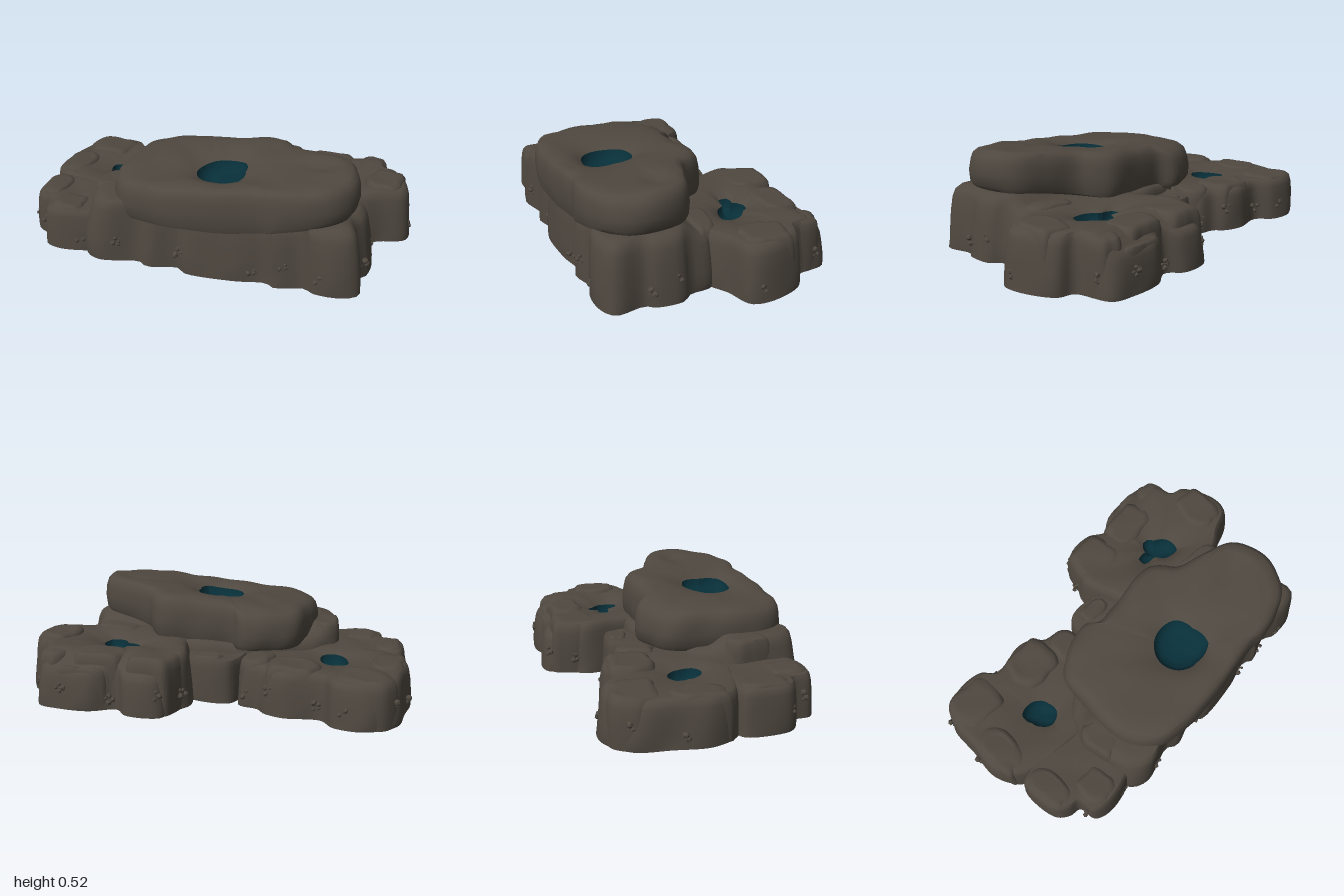
import * as THREE from 'three';
import { toCreasedNormals } from 'three/addons/utils/BufferGeometryUtils.js';

const stone = new THREE.MeshStandardMaterial({ color: 0x4f4840 });
stone.name = 'stone';
const water = new THREE.MeshStandardMaterial({ color: 0x082f39 });
water.name = 'poolTeal';

const SEG = 112;
const smoothstep = THREE.MathUtils.smoothstep;
// Gentle undulation of the weathered surface
const ripple = (x, y, z) =>
  0.45 * Math.sin(13 * x + 5 * z) * Math.sin(11 * z - 4 * x + 9 * y) + 0.3 * Math.sin(27 * x - 19 * z + 14 * y);

// Joins closed rings of points, bottom to top, with optional caps
function loft(rings, capBottom, capTop) {
  const pos = rings.flat(2), index = [];
  for (let j = 0; j < rings.length - 1; j++) {
    for (let i = 0; i < SEG; i++) {
      const k = (i + 1) % SEG, a = j * SEG + i, b = j * SEG + k;
      index.push(a, a + SEG, b, b, a + SEG, b + SEG);
    }
  }
  const cap = (p, start, up) => {
    const c = pos.length / 3;
    pos.push(...p);
    for (let i = 0; i < SEG; i++) {
      const a = start + i, b = start + (i + 1) % SEG;
      index.push(c, up ? b : a, up ? a : b);
    }
  };
  if (capBottom) cap(capBottom, 0, false);
  if (capTop) cap(capTop, (rings.length - 1) * SEG, true);
  const g = new THREE.BufferGeometry();
  g.setAttribute('position', new THREE.Float32BufferAttribute(pos, 3));
  g.setIndex(index);
  return toCreasedNormals(g, 0.75);
}

// Side profiles as [outline scale, height fraction]
const CLIFF = [[1, 0], [0.998, 0.12], [0.988, 0.35], [0.972, 0.6], [0.952, 0.82], [0.93, 0.93], [0.89, 0.99], [0.82, 1]];
const SLAB = [[0.9, 0], [0.965, 0.04], [0.99, 0.16], [1, 0.42], [0.99, 0.68], [0.97, 0.86], [0.93, 0.96], [0.86, 1]];
const DOME = [[1, 0], [0.995, 0.25], [0.98, 0.55], [0.94, 0.78], [0.88, 0.92], [0.76, 0.985], [0.62, 1.0]];

// A rock from an (x, z) outline, narrowing towards c; pool lists rim radii at equal angles around c
function rock(group, name, outline, c, top, { bottom = () => 0, profile = CLIFF, pool = null, depth = 0.06, dip = 0.025 } = {}) {
  const curve = new THREE.CatmullRomCurve3(outline.map(([x, z]) => new THREE.Vector3(x, 0, z)), true);
  const edge = curve.getSpacedPoints(SEG).slice(0, SEG).map(p => new THREE.Vector2(p.x, p.z));
  if (THREE.ShapeUtils.area(edge) < 0) edge.reverse();
  const rings = profile.map(([s, h]) => edge.map(p => {
    const x0 = c[0] + (p.x - c[0]) * s, z0 = c[1] + (p.y - c[1]) * s;
    const lo = bottom(x0, z0);
    const y = lo + (top(x0, z0) - lo) * h;
    const w = 1 + (h > 0 ? 0.018 * ripple(x0, y, z0) : 0);
    return [c[0] + (x0 - c[0]) * w, y + (h > 0.9 ? 0.008 * ripple(x0, y, z0) : 0), c[1] + (z0 - c[1]) * w];
  }));
  const rim = edge.map(p => {
    const a = Math.atan2(p.y - c[1], p.x - c[0]);
    const radii = pool || [0.03];
    const u = (a / (2 * Math.PI) + 1) % 1 * radii.length, i = Math.floor(u);
    const r = THREE.MathUtils.lerp(radii[i % radii.length], radii[(i + 1) % radii.length], u - i);
    return [c[0] + r * Math.cos(a), c[1] + r * Math.sin(a)];
  });
  // Top surface sinking in to the rim
  const s0 = profile[profile.length - 1][0];
  for (const t of [0.2, 0.4, 0.6, 0.8, 0.92, 1]) {
    rings.push(edge.map((p, i) => {
      const ox = c[0] + (p.x - c[0]) * s0, oz = c[1] + (p.y - c[1]) * s0;
      const x = ox + (rim[i][0] - ox) * t, z = oz + (rim[i][1] - oz) * t;
      return [x, top(x, z) + 0.008 * ripple(x, 0.3, z) - (pool ? dip * t * t * t : 0), z];
    }));
  }
  const yc = top(...c);
  const mesh = new THREE.Mesh(loft(rings, [c[0], bottom(...c), c[1]], pool ? null : [c[0], yc, c[1]]), stone);
  mesh.name = name;
  group.add(mesh);
  if (!pool) return;
  // Bowl of the pool
  const last = rings[rings.length - 1];
  const bowl = [[1, 0], [0.93, 0.45], [0.75, 0.8], [0.45, 0.96]].map(([s, d]) =>
    last.map(([x, y, z]) => [c[0] + (x - c[0]) * s, y - depth * d, c[1] + (z - c[1]) * s]));
  const basin = new THREE.Mesh(loft(bowl, null, [c[0], yc - dip - depth, c[1]]), water);
  basin.name = name + 'Pool';
  group.add(basin);
}

// A rounded lump with a squarish plan
function boulder(group, name, x, z, rx, rz, h, turn = 0) {
  const pts = [];
  for (let i = 0; i < 14; i++) {
    const a = i / 14 * Math.PI * 2, ca = Math.cos(a), sa = Math.sin(a);
    const k = (1 + 0.05 * Math.sin(i * 2.4 + x * 20)) / Math.pow(ca ** 4 + sa ** 4, 0.2);
    const px = rx * k * ca * 0.93, pz = rz * k * sa * 0.93;
    pts.push([x + px * Math.cos(turn) - pz * Math.sin(turn), z + px * Math.sin(turn) + pz * Math.cos(turn)]);
  }
  rock(group, name, pts, [x, z], () => h, { profile: DOME });
}

export function createModel() {
  const model = new THREE.Group();
  model.name = 'rockFormation';

  // Tall base under the slab
  rock(model, 'centralBase', [[-0.61, 0.15], [-0.5, 0], [-0.2, -0.15], [0.2, -0.19], [0.5, -0.05], [0.77, 0.04], [0.79, 0.17],
    [0.83, 0.22], [0.82, 0.36], [0.79, 0.4], [0.8, 0.55], [0.72, 0.595], [0.58, 0.585], [0.55, 0.555], [0.4, 0.585], [0.36, 0.555],
    [0.2, 0.575], [-0.05, 0.565], [-0.09, 0.525], [-0.25, 0.55], [-0.3, 0.515], [-0.5, 0.545], [-0.59, 0.49], [-0.62, 0.3]],
  [0.1, 0.2], (x, z) => 0.325 - 0.055 * smoothstep(-z, -0.18, -0.08));

  // Tilted slab with the largest pool and a hollow beside it
  rock(model, 'topSlab', [[-0.455, 0.1], [-0.43, -0.05], [-0.37, -0.13], [-0.28, -0.17], [-0.14, -0.2], [-0.08, -0.14], [0.15, -0.135],
    [0.32, -0.13], [0.38, -0.07], [0.42, 0], [0.56, 0.07], [0.71, 0.15], [0.75, 0.28], [0.735, 0.42], [0.63, 0.54], [0.4, 0.58],
    [0.34, 0.565], [0.1, 0.575], [-0.2, 0.56], [-0.38, 0.5], [-0.47, 0.36]], [0.07, 0.28],
  (x, z) => 0.472 + 0.085 * x - 0.06 * Math.max(0, z - 0.2) - 0.25 * Math.max(0, -0.08 - z)
    - 0.03 * Math.exp(-((x - 0.55) ** 2 + (z - 0.24) ** 2) / 0.005),
  { bottom: x => 0.235 + 0.085 * smoothstep(x, 0.1, 0.7), profile: SLAB, dip: 0.035,
    pool: [0.12, 0.155, 0.125, 0.125, 0.125, 0.125, 0.13, 0.14] });

  // Low shelves on each side, two of them with pools
  rock(model, 'leftBackShelf', [[-0.92, 0.05], [-1, -0.1], [-0.975, -0.28], [-0.94, -0.45], [-0.8, -0.55], [-0.65, -0.53],
    [-0.58, -0.45], [-0.4, -0.46], [-0.3, -0.42], [-0.26, -0.37], [-0.16, -0.335], [-0.15, -0.2], [-0.2, 0], [-0.4, 0.15],
    [-0.7, 0.12]], [-0.61, -0.1], () => 0.22,
  { pool: [0.07, 0.09, 0.09, 0.07, 0.065, 0.095, 0.08, 0.072], dip: 0.025 });
  rock(model, 'rightBackShelf', [[0.1, -0.25], [0.08, -0.4], [0.14, -0.49], [0.18, -0.595], [0.35, -0.6], [0.42, -0.53],
    [0.55, -0.585], [0.72, -0.58], [0.83, -0.545], [0.865, -0.36], [0.94, -0.33], [1, -0.15], [0.98, -0.04], [0.85, 0.005],
    [0.75, 0.06], [0.5, 0.1], [0.2, 0]], [0.5, -0.2],
  (x, z) => 0.275 - 0.075 * smoothstep(-z, 0.42, 0.56),
  { pool: [0.1, 0.115, 0.125, 0.09, 0.065, 0.045, 0.035, 0.045, 0.1, 0.105, 0.055, 0.07, 0.085, 0.085, 0.07, 0.08], dip: 0.04 });
  rock(model, 'leftFrontShelf', [[-0.955, 0.07], [-0.96, 0.28], [-0.905, 0.34], [-0.845, 0.36], [-0.835, 0.45], [-0.76, 0.49],
    [-0.6, 0.48], [-0.4, 0.4], [-0.4, 0.1], [-0.7, 0.02], [-0.9, 0.04]], [-0.68, 0.24], () => 0.215);
  rock(model, 'backSaddle', [[-0.16, -0.1], [-0.14, -0.26], [-0.1, -0.325], [0.04, -0.325], [0.13, -0.28], [0.15, -0.1]],
    [0, -0.18], () => 0.22);

  // Lumps breaking up the shelves: x, z, half width, half depth, height, turn
  [[-0.78, -0.4, 0.17, 0.135, 0.23, 0.1], [-0.43, -0.31, 0.16, 0.135, 0.24, 0.1], [-0.24, -0.23, 0.09, 0.12, 0.235, 0.3],
    [-0.88, -0.13, 0.1, 0.17, 0.228, 0.1], [-0.87, 0.19, 0.085, 0.15, 0.225, 0], [-0.72, 0.37, 0.11, 0.11, 0.225, 0.1],
    [-0.53, 0.25, 0.08, 0.13, 0.325, 0], [0.25, -0.43, 0.15, 0.145, 0.275, 0.1], [0.53, -0.42, 0.17, 0.11, 0.275, 0],
    [0.76, -0.4, 0.09, 0.14, 0.265, 0.1], [0.85, -0.17, 0.12, 0.15, 0.29, 0.2], [0.62, -0.51, 0.17, 0.06, 0.21, 0],
    [0.02, -0.25, 0.1, 0.06, 0.23, 0.2], [0.6, 0.03, 0.16, 0.07, 0.285, 0.2]
  ].forEach(([x, z, rx, rz, h, t], i) => boulder(model, 'boulder' + (i + 1), x, z, rx, rz, h, t));

  // Clusters of small crusts around the foot
  const crust = new THREE.IcosahedronGeometry(0.016, 0);
  const crusts = new THREE.Group();
  crusts.name = 'crusts';
  [[-0.93, 0.305], [-0.84, 0.41], [-0.63, 0.475], [-0.41, 0.53], [-0.08, 0.54], [0.29, 0.56], [0.44, 0.57], [0.61, 0.58],
    [0.8, 0.37], [0.805, 0.24], [0.98, -0.1], [0.845, -0.48], [0.7, -0.575], [0.45, -0.55], [0.2, -0.58], [0.1, -0.46],
    [-0.19, -0.335], [-0.32, -0.415], [-0.56, -0.455], [-0.69, -0.525], [-0.92, -0.45], [-0.975, -0.22]
  ].forEach(([x, z], n) => {
    for (let i = 0; i < 4; i++) {
      const bit = new THREE.Mesh(crust, stone), a = n * 1.7 + i * 1.57;
      bit.name = 'crust';
      bit.position.set(x + 0.018 * Math.cos(a), 0.09 + 0.03 * Math.sin(n * 2.3) + 0.018 * Math.sin(a), z + 0.01 * Math.sin(a * 2));
      bit.rotation.set(a, n, i);
      bit.scale.setScalar(0.8 + 0.25 * Math.sin(n + 2 * i));
      crusts.add(bit);
    }
  });
  model.add(crusts);
  return model;
}
